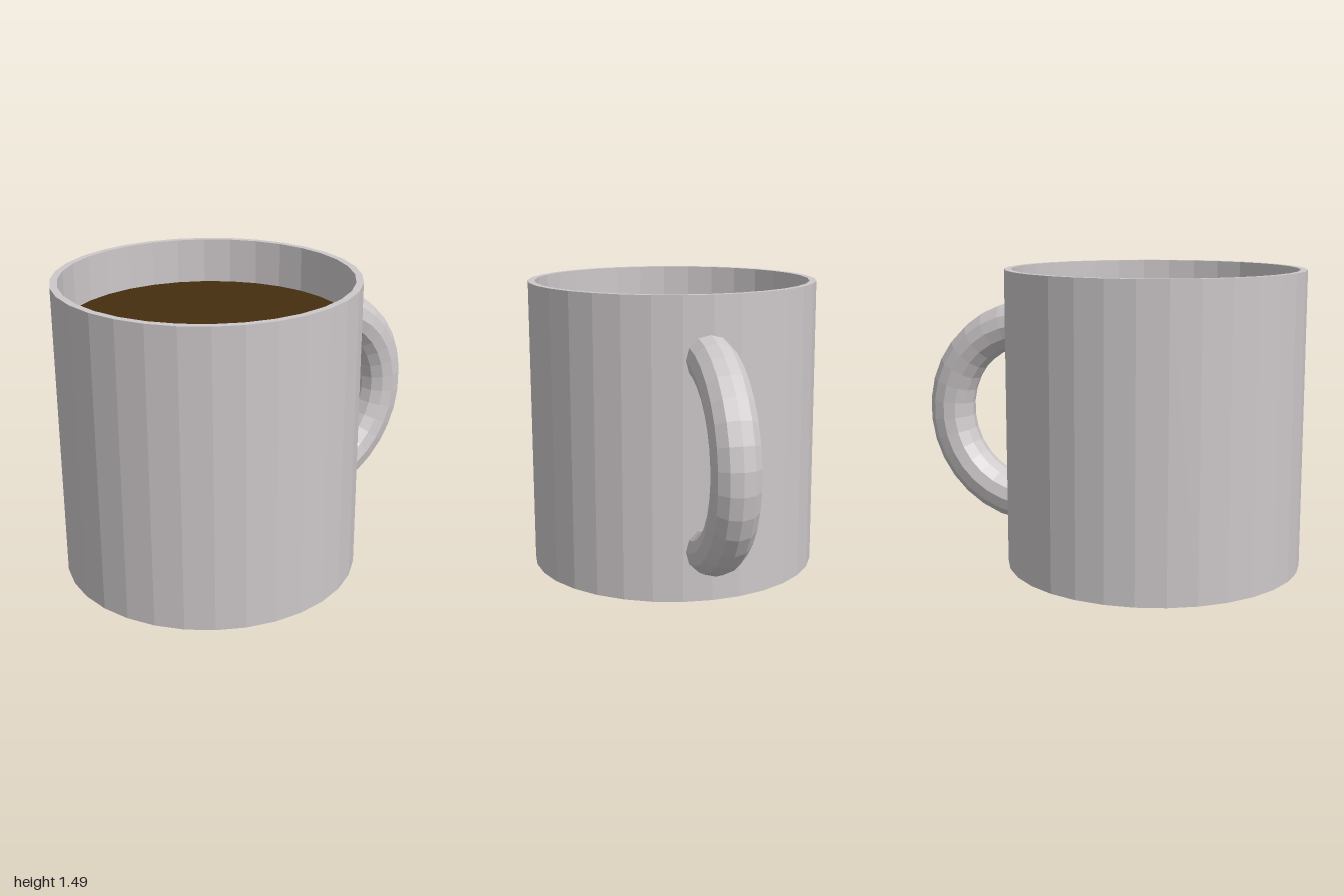
import * as THREE from 'three';

const HEIGHT = 1.49;
const OUTER = 0.745;
const INNER = 0.71;
const FLOOR = 0.035;
const CUP_Z = 0.255;

export function createModel() {
  const ceramic = new THREE.MeshStandardMaterial({ color: 0xcdc8ca, flatShading: true });
  ceramic.name = 'greyCeramic';
  const coffeeBrown = new THREE.MeshStandardMaterial({ color: 0x462e10 });
  coffeeBrown.name = 'coffeeBrown';

  const mug = new THREE.Group();
  mug.name = 'mug';
  const add = (name, geometry, material, x, y, z) => {
    const mesh = new THREE.Mesh(geometry, material);
    mesh.name = name;
    mesh.position.set(x, y, z);
    mug.add(mesh);
  };

  // Hollow cup: base, outer wall, rim, inner wall and floor in one profile
  const profile = [
    [0, 0], [OUTER, 0], [OUTER, HEIGHT], [INNER, HEIGHT], [INNER, FLOOR], [0, FLOOR],
  ].map(([r, y]) => new THREE.Vector2(r, y));
  add('cup', new THREE.LatheGeometry(profile, 32), ceramic, 0, 0, CUP_Z);

  // Liquid surface, its edge tucked into the wall
  const surface = new THREE.CircleGeometry(INNER + 0.002, 64).rotateX(-Math.PI / 2);
  add('coffee', surface, coffeeBrown, 0, 1.26, CUP_Z);

  // Ring handle at the back, its open ends buried inside the wall
  const arc = THREE.MathUtils.degToRad(167);
  const ring = new THREE.TorusGeometry(0.4725, 0.1175, 12, 15, arc)
    .rotateZ(-arc / 2)
    .rotateY(Math.PI / 2);
  add('handle', ring, ceramic, 0.013, 0.72, -0.41);

  return mug;
}
